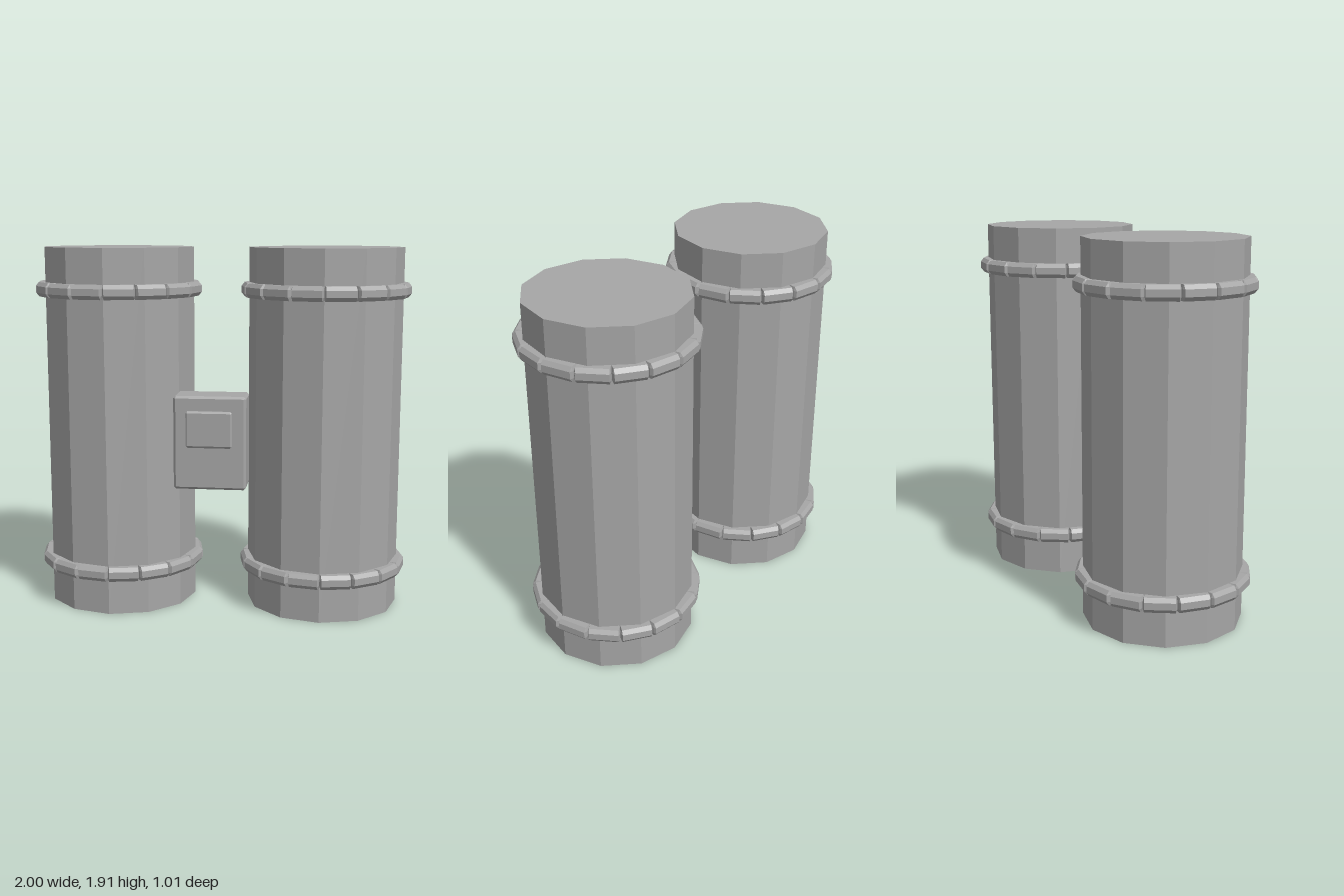
import * as THREE from 'three';
import { ConvexGeometry } from 'three/addons/geometries/ConvexGeometry.js';

// Box with all edges chamfered; bx, by, bz are the cut along each axis
function chamferBox(w, h, d, bx, by, bz) {
  const points = [];
  for (const sx of [-1, 1]) for (const sy of [-1, 1]) for (const sz of [-1, 1]) {
    const x = w / 2, y = h / 2, z = d / 2;
    points.push(
      new THREE.Vector3(sx * x, sy * (y - by), sz * (z - bz)),
      new THREE.Vector3(sx * (x - bx), sy * y, sz * (z - bz)),
      new THREE.Vector3(sx * (x - bx), sy * (y - by), sz * z),
    );
  }
  return new ConvexGeometry(points);
}

export function createModel() {
  const model = new THREE.Group();
  model.name = 'twinTanks';
  const metal = new THREE.MeshStandardMaterial({ color: 0xa6a6a6 });
  metal.name = 'grey metal';
  metal.flatShading = true;

  const add = (parent, geometry, name, x, y, z) => {
    const mesh = new THREE.Mesh(geometry, metal);
    mesh.name = name;
    mesh.position.set(x, y, z);
    parent.add(mesh);
    return mesh;
  };

  const height = 1.915, segments = 16;
  const tankGeometry = new THREE.CylinderGeometry(0.405, 0.405, height, 12);
  const barGeometry = chamferBox(0.163, 0.075, 0.07, 0.006, 0.02, 0.016);

  for (const side of [-1, 1]) {
    const tank = new THREE.Group();
    tank.name = side > 0 ? 'leftTank' : 'rightTank';
    tank.position.set(side * 0.553, 0, -0.058);
    add(tank, tankGeometry, 'tankBody', 0, height / 2, 0);

    // Two clamping bands, each a ring of straight bars
    for (const [name, y] of [['lowerBand', 0.224], ['upperBand', 1.695]]) {
      const band = new THREE.Group();
      band.name = name;
      band.position.y = y;
      for (let i = 0; i < segments; i++) {
        const a = (i + 0.5) / segments * Math.PI * 2;
        const bar = add(band, barGeometry, 'bandSegment', Math.sin(a) * 0.404, 0, Math.cos(a) * 0.404);
        bar.rotation.y = a;
      }
      tank.add(band);
    }
    model.add(tank);
  }

  // Control box between the tanks, with a raised screen
  add(model, chamferBox(0.364, 0.472, 0.182, 0.012, 0.012, 0.012), 'controlBox', 0, 0.96, 0.381);
  add(model, chamferBox(0.232, 0.184, 0.018, 0.01, 0.01, 0.006), 'screen', 0, 1.034, 0.496);
  return model;
}
